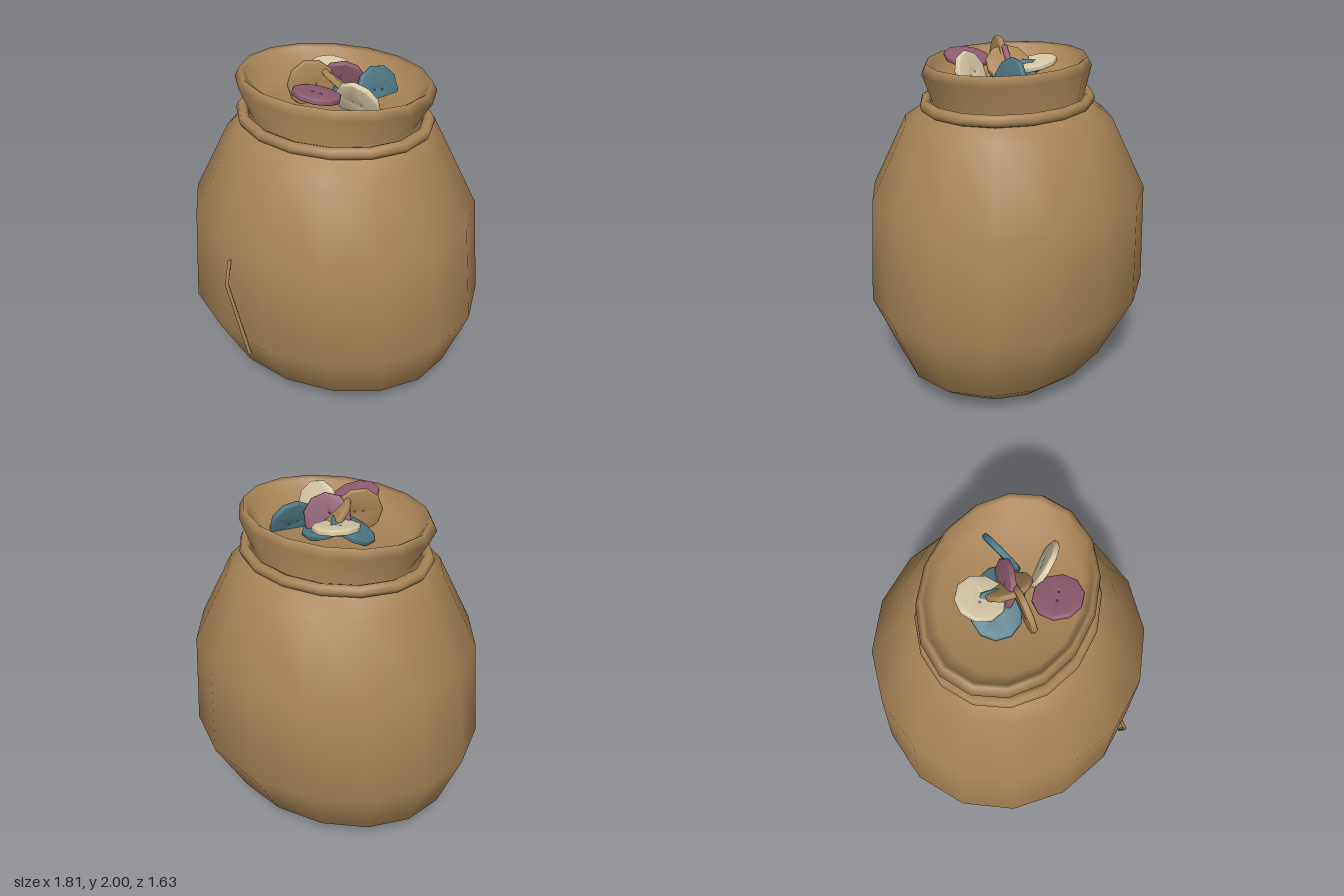
import * as THREE from 'three';
import { mergeVertices, toCreasedNormals } from 'three/addons/utils/BufferGeometryUtils.js';

const SIDES = 16;

function material(name, color) {
  const m = new THREE.MeshStandardMaterial({ color });
  m.name = name;
  return m;
}

// Oval lathe: each row is [half width in x, y, half depth in z]
function ovalLathe(rows) {
  const geo = new THREE.LatheGeometry(rows.map(([, y]) => new THREE.Vector2(1, y)), SIDES);
  const pos = geo.attributes.position;
  for (let i = 0; i < pos.count; i++) {
    const [rx, , rz] = rows[i % rows.length];
    pos.setX(i, pos.getX(i) * rx);
    pos.setZ(i, pos.getZ(i) * rz);
  }
  geo.deleteAttribute('uv');
  geo.deleteAttribute('normal');
  const smooth = mergeVertices(geo, 1e-4);
  smooth.computeVertexNormals();
  return smooth;
}

function polygon(path, r, n, cx = 0) {
  for (let i = 0; i < n; i++) {
    const a = (i / n) * Math.PI * 2;
    path[i ? 'lineTo' : 'moveTo'](cx + Math.cos(a) * r, Math.sin(a) * r);
  }
  path.closePath();
  return path;
}

// Ten-sided button with a rounded edge and two thread holes
function buttonGeometry() {
  const shape = polygon(new THREE.Shape(), 0.12, 10);
  for (const x of [-0.025, 0.025]) shape.holes.push(polygon(new THREE.Path(), 0.017, 6, x));
  const geo = new THREE.ExtrudeGeometry(shape, {
    depth: 0.014, bevelThickness: 0.01, bevelSize: 0.013, bevelSegments: 2,
  });
  geo.translate(0, 0, -0.007);
  return toCreasedNormals(geo, 0.8);
}

export function createModel() {
  const model = new THREE.Group();
  const cloth = material('brown cloth', 0xa88456);
  const cream = material('cream', 0xd9caa8);
  const teal = material('teal', 0x4c7785);
  const mauve = material('mauve', 0x8e5c70);

  const add = (name, geo, mat) => {
    const mesh = new THREE.Mesh(geo, mat);
    mesh.name = name;
    model.add(mesh);
    return mesh;
  };

  // Sack, from the base up over the flared rim and down inside
  add('sack', ovalLathe([
    [0, 0, 0],
    [0.58, 0, 0.46],
    [0.765, 0.14, 0.61],
    [0.905, 0.535, 0.812],
    [0.835, 1.14, 0.8],
    [0.62, 1.56, 0.595],
    [0.54, 1.64, 0.47],
    [0.48, 1.68, 0.425],
    [0.58, 1.85, 0.455],
    [0.55, 1.9, 0.43],
    [0.525, 1.885, 0.41],
    [0.44, 1.78, 0.37],
    [0, 1.76, 0],
  ]), cloth);

  // Tie rope around the neck
  const rope = new THREE.TorusGeometry(0.54, 0.035, 8, SIDES);
  rope.rotateX(Math.PI / 2);
  rope.scale(1, 1, 0.455 / 0.54);
  rope.translate(0, 1.665, 0);
  add('neckTie', rope, cloth);

  // Bent seam on the front
  const seamPath = new THREE.CurvePath();
  const bends = [[-0.235, 1.06, 0.76], [-0.235, 0.92, 0.805], [-0.12, 0.46, 0.8]]
    .map((p) => new THREE.Vector3(...p));
  seamPath.add(new THREE.LineCurve3(bends[0], bends[1]));
  seamPath.add(new THREE.LineCurve3(bends[1], bends[2]));
  add('frontSeam', new THREE.TubeGeometry(seamPath, 12, 0.011, 6), cloth);

  // Loose buttons in the mouth: material, centre, facing direction
  const buttons = [
    [mauve, [0.03, 1.885, 0.25], [0.1, 0.97, -0.2]],
    [cream, [-0.09, 1.86, -0.12], [0.15, 0.97, 0.15]],
    [cream, [0.21, 1.83, 0.125], [0.05, 0.36, -0.93]],
    [teal, [0.21, 1.81, -0.11], [0.84, 0.28, 0.47]],
    [teal, [-0.13, 1.82, -0.02], [-0.35, 0.9, 0.25]],
    [teal, [0.03, 1.8, -0.05], [0.2, 0.97, -0.1]],
    [cloth, [0.015, 1.86, -0.01], [0.48, 0.73, -0.48]],
    [cloth, [-0.08, 1.87, 0.11], [0.67, 0.08, 0.74]],
    [mauve, [0.03, 1.855, -0.03], [-0.46, 0.3, -0.83]],
  ];
  const geo = buttonGeometry();
  const forward = new THREE.Vector3(0, 0, 1);
  buttons.forEach(([mat, centre, facing], i) => {
    const b = add(`button${i + 1}`, geo, mat);
    b.position.set(...centre);
    b.quaternion.setFromUnitVectors(forward, new THREE.Vector3(...facing).normalize());
  });

  return model;
}
